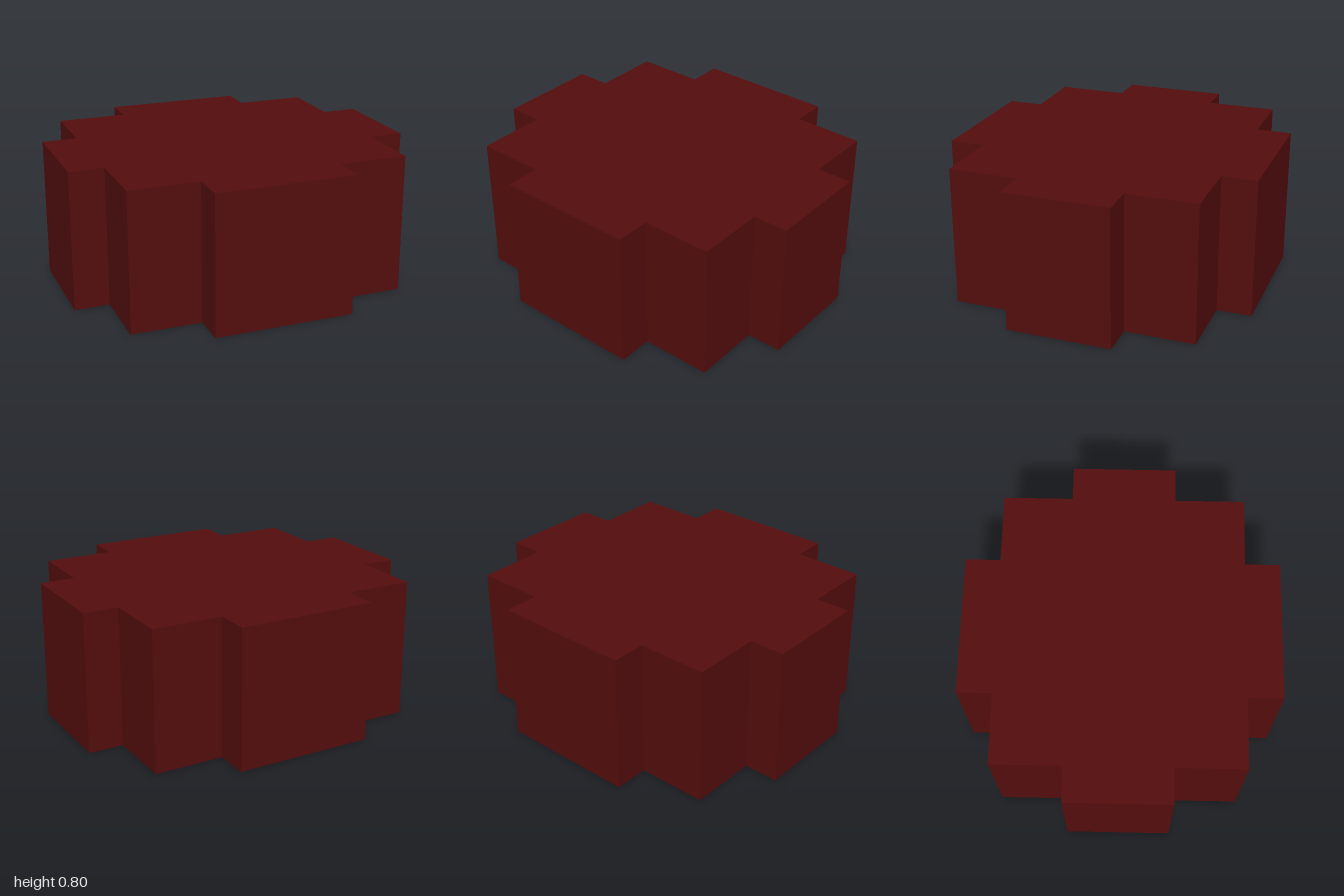
import * as THREE from 'three';

export function createModel() {
  const group = new THREE.Group();
  const darkRed = new THREE.MeshStandardMaterial({ color: 0x540d0d });
  darkRed.name = 'dark red';

  // One quadrant of the stepped outline, mirrored into the other three
  const quadrant = [[1, 0.3], [0.8, 0.3], [0.8, 0.7], [0.4, 0.7], [0.4, 0.9]];
  const mirrored = (sx, sy) => quadrant.map(([x, y]) => new THREE.Vector2(x * sx, y * sy));
  const outline = [
    ...mirrored(1, 1),
    ...mirrored(-1, 1).reverse(),
    ...mirrored(-1, -1),
    ...mirrored(1, -1).reverse(),
  ];

  // Solid block, extruded upwards from the ground
  const geometry = new THREE.ExtrudeGeometry(new THREE.Shape(outline), { depth: 0.8, bevelEnabled: false });
  geometry.rotateX(-Math.PI / 2);

  const block = new THREE.Mesh(geometry, darkRed);
  block.name = 'steppedBlock';
  group.add(block);
  return group;
}
